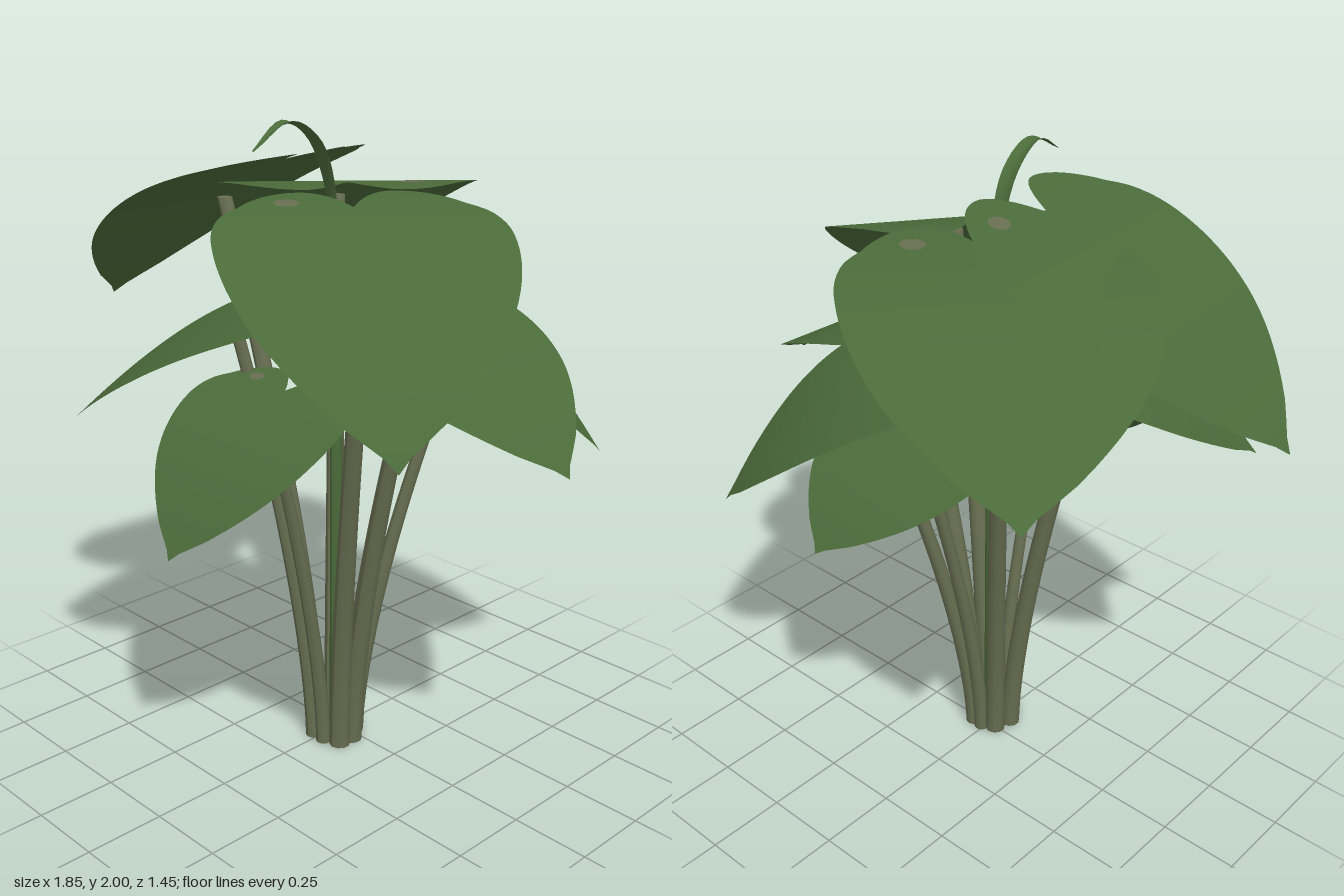
import * as THREE from 'three';

const V = (x, y, z) => new THREE.Vector3(x, y, z);

// Each leaf: lobe end, bend control and tip of its midrib, half width, stem foot, stem radius, stem joint
const LEAVES = [
  { name: 'backRightLeaf', base: V(0.08, 1.79, 0.02), bend: V(-0.45, 1.8, -0.37), tip: V(-0.72, 1.41, -0.69), half: 0.43, foot: [-0.03, 0.0], r: 0.033, joint: 0.38 },
  { name: 'rightLeaf', base: V(0.01, 1.9, 0.08), bend: V(-0.54, 1.79, 0.1), tip: V(-0.93, 1.35, 0.17), half: 0.41, foot: [-0.045, 0.06], r: 0.033, joint: 0.4 },
  { name: 'frontLeftLeaf', base: V(0.04, 1.78, 0.02), bend: V(0.5, 1.74, 0.34), tip: V(0.77, 1.24, 0.55), half: 0.41, foot: [0.08, 0.08], r: 0.034, joint: 0.38 },
  { name: 'leftLeaf', base: V(-0.01, 1.51, 0.04), bend: V(0.54, 1.48, 0.03), tip: V(0.915, 1.14, 0.06), half: 0.375, foot: [0.085, 0.03], r: 0.033, joint: 0.36 },
  { name: 'backLeftLeaf', base: V(0.0, 1.43, -0.08), bend: V(0.36, 1.4, -0.36), tip: V(0.55, 0.96, -0.6), half: 0.37, foot: [0.05, -0.02], r: 0.027, joint: 0.36 },
  { name: 'backLeaf', base: V(0.03, 1.24, -0.07), bend: V(0.06, 1.22, -0.4), tip: V(0.1, 0.975, -0.635), half: 0.31, foot: [0.01, -0.025], r: 0.025, joint: 0.29 },
  { name: 'frontLeaf', base: V(0.04, 1.26, 0.18), bend: V(0.05, 1.18, 0.48), tip: V(0.06, 0.84, 0.72), half: 0.31, foot: [0.03, 0.105], r: 0.024, joint: 0.26 },
  { name: 'frontRightLeaf', base: V(0.05, 1.47, 0.07), bend: V(-0.31, 1.43, 0.34), tip: V(-0.6, 1.06, 0.58), half: 0.37, foot: [-0.02, 0.1], r: 0.027, joint: 0.34 },
];

// Half width from the lobes to the tip, as a share of the widest point
const OUTLINE = new THREE.SplineCurve(
  [0.74, 0.91, 0.99, 1, 0.97, 0.9, 0.78, 0.59, 0.33, 0].map((w, i) => new THREE.Vector2(w, i / 9))
);

// A map from leaf coordinates (along the midrib, across, lift) to space
function leafSurface({ base, bend, tip }) {
  const rib = new THREE.QuadraticBezierCurve3(base, bend, tip);
  const side = V(base.z - tip.z, 0, tip.x - base.x).normalize();
  return (along, across, lift = 0) => rib.getPoint(along).addScaledVector(side, across).add(V(0, lift, 0));
}

// Moves every vertex of a geometry by a rule
function reshape(geometry, rule) {
  const p = geometry.attributes.position;
  for (let i = 0; i < p.count; i++) {
    const q = rule(p.getX(i), p.getY(i), p.getZ(i));
    p.setXYZ(i, q.x, q.y, q.z);
  }
  geometry.computeVertexNormals();
  return geometry;
}

// Heart-shaped blade with a narrow notch between two rounded lobes
function heartGeometry(leaf, at) {
  return reshape(new THREE.PlaneGeometry(2, 1, 30, 28), (v, y) => {
    const s = THREE.MathUtils.clamp(0.5 - y, 0, 1);
    const w = Math.max(0, OUTLINE.getPoint(s).x) * leaf.half;
    const d = Math.abs(v) - 0.45;
    const notch = d < 0 ? 0.14 * (d / 0.45) ** 2 : 0.1 * (d / 0.55) ** 2;
    return at(s + notch * (1 - s) ** 3, v * w);
  });
}

// Stalk rising upright and then leaning out to its end point
function stalkGeometry([x0, z0], end, rTop, rBottom) {
  return reshape(new THREE.CylinderGeometry(rTop, rBottom, 1, 10, 18), (x, y, z) => {
    const t = y + 0.5;
    const k = Math.max(0, t) ** 1.5;
    return V(x + x0 + (end.x - x0) * k, t * end.y, z + z0 + (end.z - z0) * k);
  });
}

export function createModel() {
  const leafGreen = new THREE.MeshStandardMaterial({ color: 0x4b6b3a, side: THREE.DoubleSide });
  leafGreen.name = 'leafGreen';
  const stemOlive = new THREE.MeshStandardMaterial({ color: 0x676d50, side: THREE.DoubleSide });
  stemOlive.name = 'stemOlive';

  const model = new THREE.Group();
  model.name = 'leafyPlant';
  const add = (parent, name, geometry, material) => {
    const mesh = new THREE.Mesh(geometry, material);
    mesh.name = name;
    parent.add(mesh);
  };

  // Leaves on their stalks
  for (const leaf of LEAVES) {
    const group = new THREE.Group();
    group.name = leaf.name;
    const at = leafSurface(leaf);
    add(group, 'blade', heartGeometry(leaf, at), leafGreen);
    add(group, 'stalk', stalkGeometry(leaf.foot, at(leaf.joint, 0, -0.035), leaf.r * 0.72, leaf.r), stemOlive);
    // Small pale mark on one lobe
    const mark = reshape(new THREE.CircleGeometry(1, 9), (x, y) =>
      at(0.11 + y * 0.03, leaf.half * (0.45 + x * 0.09), 0.005));
    add(group, 'lobeMark', mark, stemOlive);
    model.add(group);
  }

  // Central shoot with a young curled blade
  const shoot = new THREE.Group();
  shoot.name = 'centralShoot';
  add(shoot, 'shootStalk', stalkGeometry([0.025, 0.04], V(0.022, 1.63, 0.04), 0.016, 0.024), leafGreen);
  const curl = new THREE.CatmullRomCurve3([
    V(0.022, 1.62, 0.04), V(0.022, 1.78, 0.06), V(0.035, 1.92, 0.13), V(0.05, 1.99, 0.25), V(0.08, 1.93, 0.4),
  ]);
  const young = reshape(new THREE.PlaneGeometry(2, 1, 4, 20), (v, y) => {
    const t = THREE.MathUtils.clamp(y + 0.5, 0, 1);
    const w = 0.004 + 0.024 * Math.sin(Math.PI * t) ** 0.8;
    return curl.getPoint(t).add(V(v * w, 0.012 * v * v * Math.sin(Math.PI * t), 0));
  });
  add(shoot, 'youngBlade', young, leafGreen);
  model.add(shoot);

  return model;
}
